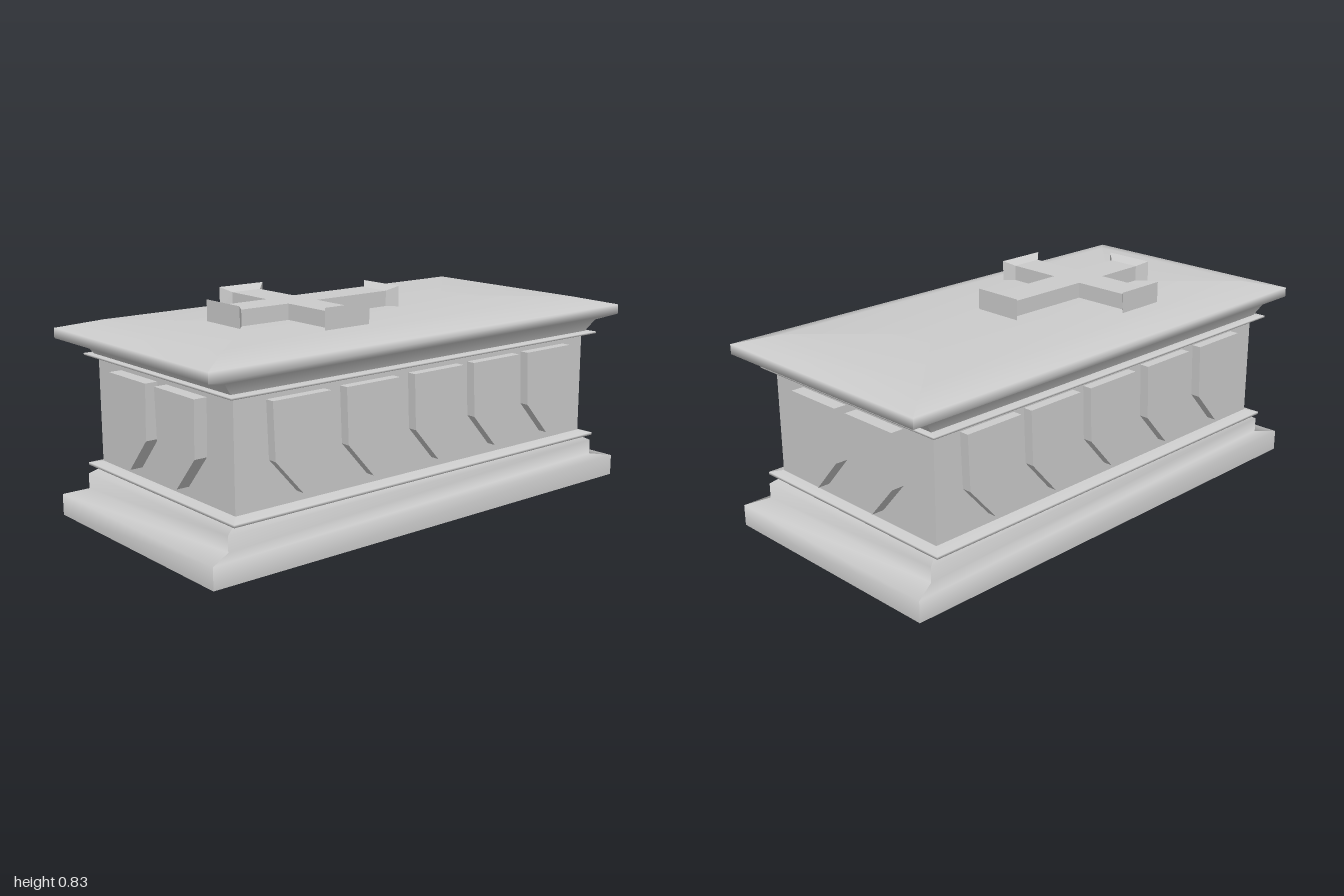
import * as THREE from 'three';

const stone = new THREE.MeshStandardMaterial({ color: 0xcccccc, side: THREE.DoubleSide });

function add(parent, geometry, name) {
  const mesh = new THREE.Mesh(geometry, stone);
  mesh.name = name;
  parent.add(mesh);
  return mesh;
}

// Rectangular moulding: profile rows are [half width, half length, height].
// Each side has its own vertices, so corners are sharp and the profile is smooth.
function moulding(profile) {
  const corners = [[-1, 1], [1, 1], [1, -1], [-1, -1]];
  const positions = [];
  const index = [];
  for (let s = 0; s < 4; s++) {
    const a = corners[s], b = corners[(s + 1) % 4];
    const start = positions.length / 3;
    profile.forEach(([hx, hz, y], j) => {
      positions.push(a[0] * hx, y, a[1] * hz, b[0] * hx, y, b[1] * hz);
      if (j === 0) return;
      const k = start + 2 * (j - 1);
      index.push(k, k + 1, k + 3, k, k + 3, k + 2);
    });
  }
  const g = new THREE.BufferGeometry();
  g.setAttribute('position', new THREE.Float32BufferAttribute(positions, 3));
  g.setIndex(index);
  g.computeVertexNormals();
  return g;
}

// One arm of the cross, pointing along +z, flaring sideways and upwards at its end
function crossArm(length) {
  const inner = 0.065, flareStart = length - 0.033;
  const g = new THREE.BoxGeometry(2, 1, 2, 1, 1, 2);
  const p = g.attributes.position;
  for (let i = 0; i < p.count; i++) {
    const station = Math.round(p.getZ(i)) + 1;
    const half = [0.067, 0.065, 0.102][station];
    const top = [0.81, 0.81, 0.83][station];
    p.setXYZ(i, p.getX(i) * half, p.getY(i) > 0 ? top : 0.74, [inner, flareStart, length][station]);
  }
  const flat = g.toNonIndexed();
  flat.computeVertexNormals();
  return flat;
}

export function createModel() {
  const tomb = new THREE.Group();
  tomb.name = 'stoneTomb';

  // Hollow base, body and lid
  add(tomb, moulding([
    [0.5, 1, 0], [0.5, 1, 0.082], [0.457, 0.91, 0.097], [0.457, 0.91, 0.155], [0.43, 0.86, 0.181],
  ]), 'base');
  add(tomb, moulding([[0.43, 0.86, 0.2], [0.43, 0.86, 0.597]]), 'body');
  add(tomb, moulding([
    [0.437, 0.873, 0.615], [0.457, 0.91, 0.66], [0.5, 1, 0.68],
    [0.5, 1, 0.718], [0.38, 0.86, 0.75], [0, 0.48, 0.75],
  ]), 'lid');

  // Thin trims below and above the body
  add(tomb, moulding([
    [0.43, 0.86, 0.181], [0.475, 0.897, 0.183], [0.475, 0.897, 0.193], [0.43, 0.86, 0.203],
  ]), 'lowerTrim');
  add(tomb, moulding([
    [0.432, 0.862, 0.607], [0.475, 0.897, 0.608], [0.475, 0.897, 0.615], [0.432, 0.862, 0.616],
  ]), 'upperTrim');

  // Shields around the body
  const outline = new THREE.Shape([
    [-0.123, 0.578], [-0.115, 0.37], [0, 0.24], [0.115, 0.37], [0.123, 0.578],
  ].map(([x, y]) => new THREE.Vector2(x, y)));
  const shields = new THREE.Group();
  shields.name = 'shields';
  tomb.add(shields);

  function shield(name, x, z, angle, depth) {
    const g = new THREE.ExtrudeGeometry(outline, { depth, bevelEnabled: false });
    g.translate(0, 0, -depth);
    const mesh = add(shields, g, name);
    mesh.position.set(x, 0, z);
    mesh.rotation.y = angle;
  }
  for (const x of [-0.147, 0.157]) {
    shield('frontShield', x, 0.91, 0, 0.065);
    shield('backShield', -x, -0.91, Math.PI, 0.065);
  }
  for (const z of [0.605, 0.29, -0.027, -0.327, -0.622]) {
    shield('leftShield', 0.467, z, Math.PI / 2, 0.05);
    shield('rightShield', -0.467, z, -Math.PI / 2, 0.05);
  }

  // Raised cross on the lid
  const cross = new THREE.Group();
  cross.name = 'cross';
  cross.position.z = 0.287;
  tomb.add(cross);
  add(cross, new THREE.BoxGeometry(0.132, 0.07, 0.132), 'crossCentre').position.y = 0.775;
  [0.308, 0.32, 0.442, 0.32].forEach((length, i) => {
    add(cross, crossArm(length), 'crossArm').rotation.y = i * Math.PI / 2;
  });

  return tomb;
}
